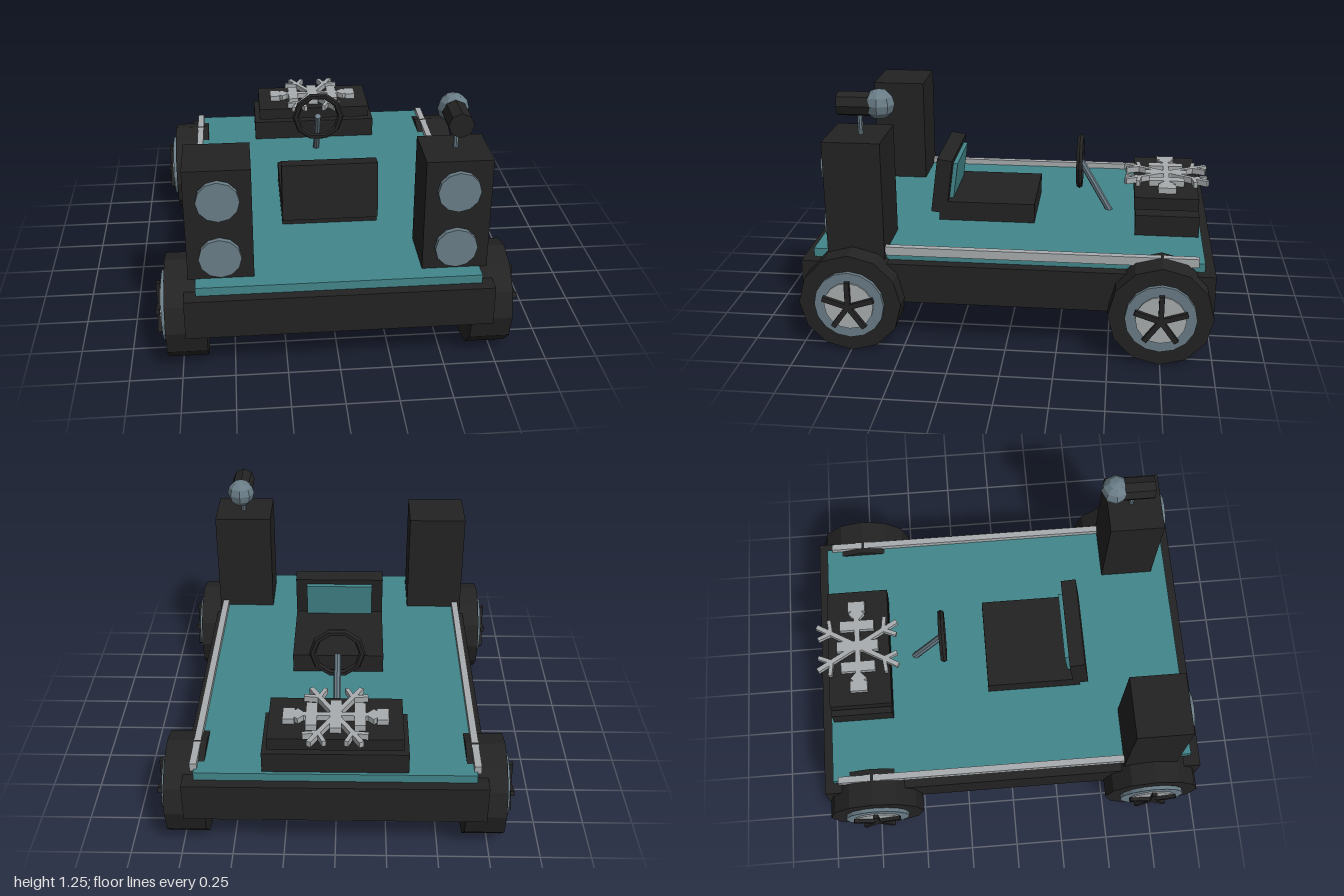
import * as THREE from 'three';

const material = (name, color) => {
  const m = new THREE.MeshStandardMaterial({ color });
  m.name = name;
  return m;
};

export function createModel() {
  const black = material('black', 0x232323);
  const teal = material('teal', 0x42868b);
  const slate = material('slate', 0x6a7d87);
  const light = material('lightGrey', 0xa9adaf);

  const model = new THREE.Group();
  model.name = 'partyCart';

  // Helpers: every geometry is faceted
  const add = (parent, name, geometry, mat, x = 0, y = 0, z = 0) => {
    const g = geometry.index ? geometry.toNonIndexed() : geometry;
    g.computeVertexNormals();
    const mesh = new THREE.Mesh(g, mat);
    mesh.name = name;
    mesh.position.set(x, y, z);
    parent.add(mesh);
    return mesh;
  };
  // Box given by its limits on each axis
  const box = (parent, name, mat, x0, x1, y0, y1, z0, z1) =>
    add(parent, name, new THREE.BoxGeometry(x1 - x0, y1 - y0, z1 - z0), mat,
      (x0 + x1) / 2, (y0 + y1) / 2, (z0 + z1) / 2);
  const group = (name, x = 0, y = 0, z = 0, parent = model) => {
    const g = new THREE.Group();
    g.name = name;
    g.position.set(x, y, z);
    parent.add(g);
    return g;
  };

  // Chassis and deck
  box(model, 'chassis', black, -0.725, 0.725, 0.225, 0.425, -1, 1);
  box(model, 'deck', teal, -0.67, 0.67, 0.425, 0.468, -0.95, 0.95);

  // Wheels: tyre, rim, hub face and five spokes, built along +x
  const disc = (parent, name, mat, r, x0, x1, n) =>
    add(parent, name, new THREE.CylinderGeometry(r, r, x1 - x0, n).rotateZ(-Math.PI / 2), mat, (x0 + x1) / 2);
  for (const side of [1, -1]) {
    for (const z of [0.745, -0.745]) {
      const wheel = group('wheel', 0, 0.25, z);
      wheel.rotation.y = side > 0 ? 0 : Math.PI;
      disc(wheel, 'tyre', black, 0.25, 0.625, 0.818, 12);
      disc(wheel, 'rim', slate, 0.17, 0.81, 0.838, 16);
      disc(wheel, 'hubFace', light, 0.12, 0.83, 0.846, 16);
      for (let i = 0; i < 5; i++) {
        const spoke = group('spoke', 0, 0, 0, wheel);
        spoke.rotation.x = i * Math.PI * 2 / 5;
        box(spoke, 'spokeBar', black, 0.845, 0.865, 0, 0.13, -0.0125, 0.0125);
      }
    }
  }

  for (const side of [1, -1]) {
    // Side rails
    const rx = side * 0.672;
    box(model, 'rail', light, rx - 0.017, rx + 0.017, 0.455, 0.498, -0.92, 0.8);

    // Speakers with two cones each
    const speaker = group('speaker', side * 0.55);
    box(speaker, 'cabinet', black, -0.155, 0.155, 0.425, 1.028, 0.59, 0.87);
    for (const y of [0.88, 0.585]) {
      add(speaker, 'cone', new THREE.CylinderGeometry(0.1, 0.1, 0.03, 12).rotateX(Math.PI / 2), slate, 0, y, 0.88);
    }
  }

  // Microphone on the left speaker
  const mic = group('microphone', 0.555);
  add(mic, 'micStand', new THREE.CylinderGeometry(0.013, 0.013, 0.13, 8), slate, 0, 1.085, 0.715);
  add(mic, 'micBody', new THREE.CylinderGeometry(0.06, 0.06, 0.21, 8).rotateX(Math.PI / 2), black, 0, 1.178, 0.71);
  add(mic, 'micHead', new THREE.SphereGeometry(0.074, 8, 6), slate, 0, 1.18, 0.617);

  // Seat with a tilted backrest
  const seat = group('seat');
  box(seat, 'cushion', black, -0.24, 0.24, 0.468, 0.57, -0.097, 0.4);
  const back = group('backrest', 0, 0.652, 0.385, seat);
  back.rotation.x = -0.13;
  box(back, 'backrestShell', black, -0.24, 0.24, -0.145, 0.145, -0.04, 0.04);
  box(back, 'backrestPad', teal, -0.18, 0.18, -0.105, 0.115, -0.062, -0.03);

  // Steering wheel and column
  add(model, 'steeringWheel', new THREE.TorusGeometry(0.126, 0.018, 6, 10), black, 0, 0.735, -0.32);
  const column = add(model, 'steeringColumn', new THREE.CylinderGeometry(0.018, 0.018, 0.32, 8), slate, 0, 0.595, -0.405);
  column.rotation.x = Math.atan2(0.155, 0.27);

  // Engine block: two slabs joined by a neck
  box(model, 'engineBase', black, -0.347, 0.347, 0.468, 0.575, -0.935, -0.615);
  box(model, 'engineNeck', light, -0.26, 0.26, 0.575, 0.596, -0.868, -0.693);
  box(model, 'engineTop', black, -0.32, 0.32, 0.596, 0.66, -0.93, -0.607);

  // Snowflake ornament lying on the engine
  const flake = group('snowflake', 0, 0.676, -0.773);
  const bar = (parent, x0, x1, hz) => box(parent, 'flakeBar', light, x0, x1, -0.016, 0.014, -hz, hz);
  bar(flake, -0.028, 0.028, 0.11);
  bar(flake, -0.2, 0.2, 0.014);
  for (const s of [1, -1]) {
    bar(flake, s * 0.115 - 0.027, s * 0.115 + 0.027, 0.09);
    bar(flake, s * 0.223 - 0.028, s * 0.223 + 0.028, 0.045);
    const diamond = group('flakeDiamond', s * 0.18, 0, 0, flake);
    diamond.rotation.y = Math.PI / 4;
    bar(diamond, -0.03, 0.03, 0.03);
  }
  for (const degrees of [60, 120, 240, 300]) {
    const arm = group('flakeArm', 0, 0, 0, flake);
    arm.rotation.y = THREE.MathUtils.degToRad(degrees);
    bar(arm, 0, 0.245, 0.012);
    for (const s of [1, -1]) {
      const twig = group('flakeTwig', 0.16, 0, 0, arm);
      twig.rotation.y = s * Math.PI / 3.4;
      bar(twig, 0, 0.075, 0.01);
    }
  }
  return model;
}
